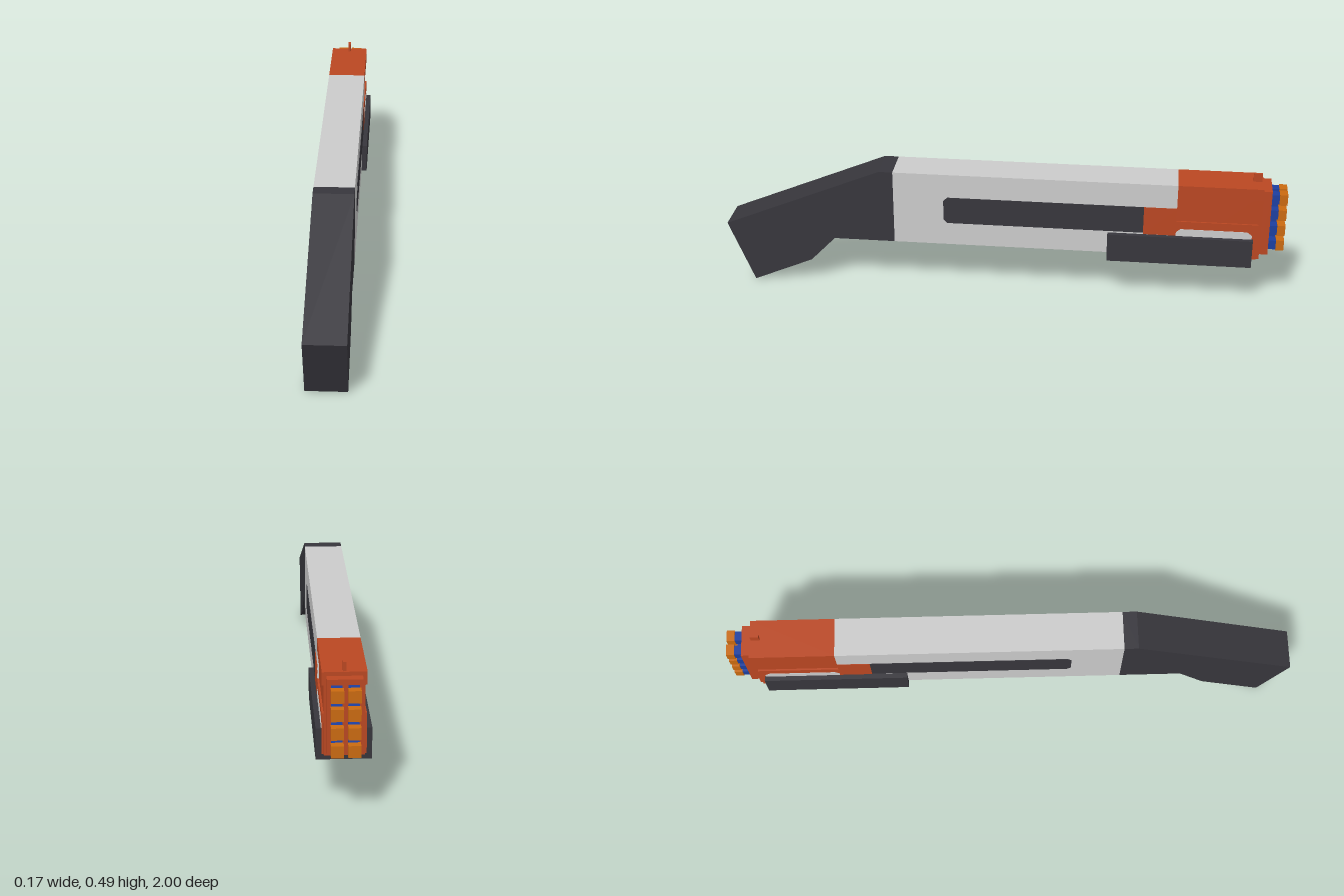
import * as THREE from 'three';

const mat = (name, color) => {
  const m = new THREE.MeshStandardMaterial({ color });
  m.name = name;
  return m;
};

export function createModel() {
  const group = new THREE.Group();
  const grey = mat('light grey', 0xcbcbcb);
  const dark = mat('charcoal', 0x37363c);
  const orange = mat('burnt orange', 0xba4722);
  const amber = mat('amber', 0xca6a10);
  const blue = mat('blue', 0x1c3fa0);

  const add = (name, geometry, material) => {
    const mesh = new THREE.Mesh(geometry, material);
    mesh.name = name;
    group.add(mesh);
    return mesh;
  };

  // Box given by half width and its y and z ranges, centred on x
  const block = (name, material, hw, y0, y1, z0, z1, x = 0) => {
    const g = new THREE.BoxGeometry(hw * 2, y1 - y0, Math.abs(z1 - z0));
    g.translate(x, (y0 + y1) / 2, (z0 + z1) / 2);
    return add(name, g, material);
  };

  // Side profile (z, y) extruded across x
  const profile = (shape, width, x = 0) => {
    const g = new THREE.ExtrudeGeometry(shape, { depth: width, bevelEnabled: false });
    g.translate(0, 0, -width / 2);
    g.rotateY(-Math.PI / 2);
    g.translate(x, 0, 0);
    return g;
  };
  const polygon = pts => new THREE.Shape(pts.map(p => new THREE.Vector2(...p)));

  const HW = 0.069;

  // Bent shoulder stock
  add('stock', profile(polygon([
    [0.385, 0.185], [0.605, 0.185], [0.695, 0.092], [0.91, 0],
    [1.0, 0.225], [0.435, 0.458], [0.385, 0.458],
  ]), HW * 2), dark);

  // Receiver
  block('body', grey, HW, 0.185, 0.458, 0.385, -0.62);

  // Muzzle shroud: recessed core with full-width upper and lower bands
  block('muzzleCore', orange, HW - 0.006, 0.185, 0.44, -0.62, -0.915);
  block('muzzleTop', orange, HW, 0.415, 0.458, -0.62, -0.915);
  block('muzzleLower', orange, HW, 0.185, 0.32, -0.62, -0.905);
  block('muzzlePlate', orange, 0.055, 0.2, 0.445, -0.915, -0.945);
  block('sight', orange, 0.005, 0.458, 0.488, -0.88, -0.91);

  // Painted side panels, mirrored on both sides
  const c = 0.014;
  const darkPanel = polygon([
    [-0.505, 0.27], [0.205 - c, 0.27], [0.205, 0.27 + c],
    [0.205, 0.37 - c], [0.205 - c, 0.37], [-0.505, 0.37],
  ]);
  const slot = polygon([
    [-0.885, 0.19], [-0.62, 0.19], [-0.62, 0.278],
    [-0.635, 0.291], [-0.868, 0.291], [-0.885, 0.278],
  ]);
  for (const s of [-1, 1]) {
    add('sidePanel', profile(darkPanel, 0.003, s * HW), dark);
    block('sidePanelFront', orange, 0.0015, 0.265, 0.37, -0.505, -0.62, s * HW);
    add('muzzleSlot', profile(slot, 0.003, s * HW), grey);
  }

  // Sliding pump grip
  block('pumpGrip', dark, 0.087, 0.16, 0.264, -0.38, -0.889);

  // Two columns of four darts
  for (const x of [-0.026, 0.026]) {
    for (const y of [0.233, 0.291, 0.351, 0.41]) {
      block('dartBody', blue, 0.017, y - 0.017, y + 0.017, -0.945, -0.972, x);
      block('dartTip', amber, 0.0195, y - 0.0195, y + 0.0195, -0.972, -1.0, x);
    }
  }

  return group;
}
